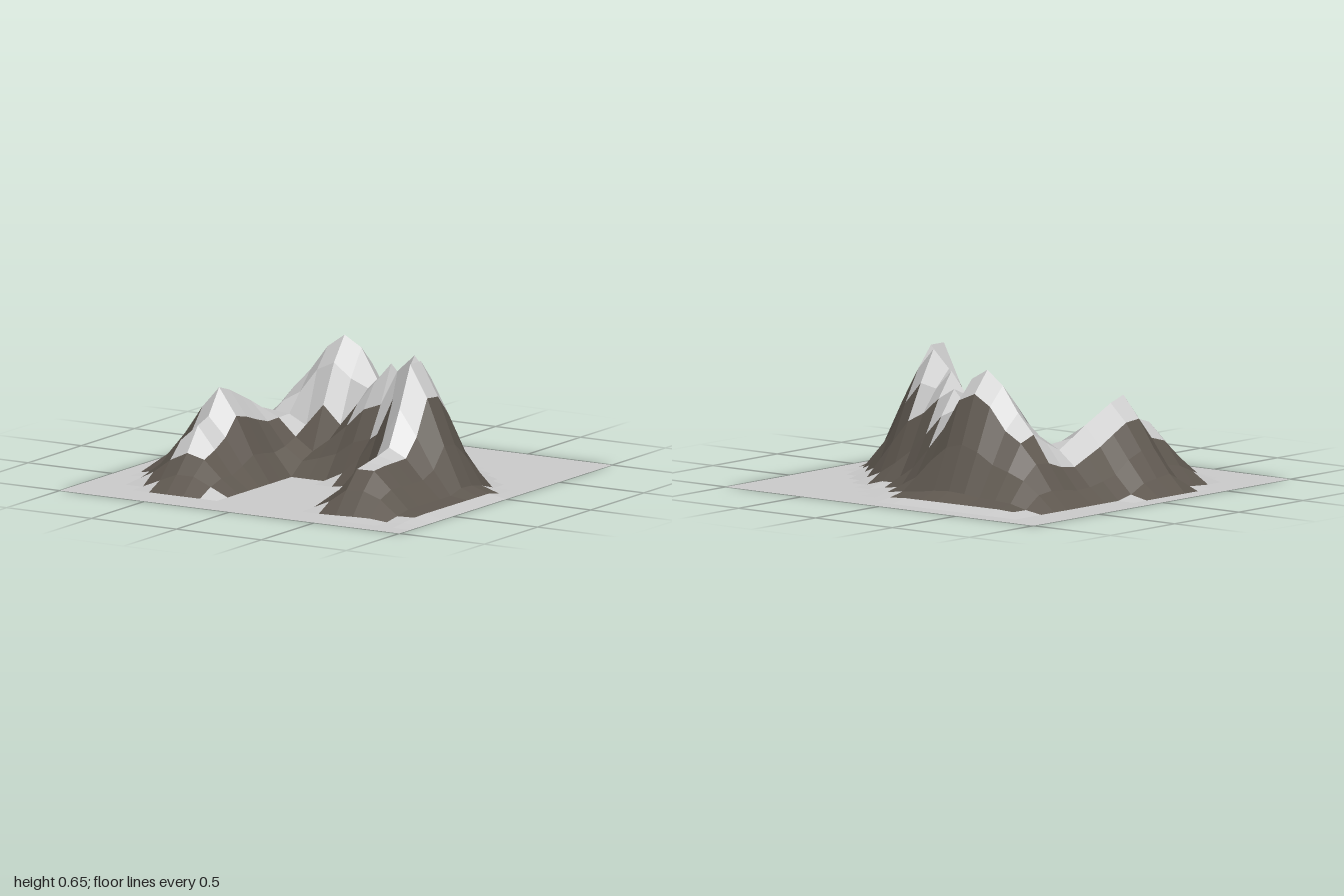
import * as THREE from 'three';

const CELLS = 20;
const STEP = 2 / CELLS;
const { clamp, lerp, smoothstep } = THREE.MathUtils;

// Crest of the horseshoe range: x, z, height
const RIDGE = [
  [-0.45, 0.6, 0.18], [-0.5, 0.5, 0.3], [-0.5, 0.4, 0.33], [-0.5, 0.3, 0.46],
  [-0.5, 0.2, 0.43], [-0.5, 0, 0.34], [-0.45, -0.2, 0.26], [-0.4, -0.41, 0.45],
  [-0.3, -0.42, 0.59], [-0.2, -0.42, 0.66], [-0.1, -0.42, 0.61], [0, -0.4, 0.42],
  [0.1, -0.3, 0.5], [0.2, -0.2, 0.57], [0.3, -0.1, 0.56], [0.4, -0.1, 0.65],
  [0.5, 0, 0.65], [0.5, 0.1, 0.65], [0.5, 0.2, 0.44], [0.52, 0.3, 0.27],
  [0.55, 0.6, 0.24],
];

// Outline where the slopes meet the ground: x, z
const FOOT = [
  [-0.2, 0.7], [-0.3, 0.8], [-0.6, 0.8], [-0.8, 0.6], [-0.82, 0.42], [-0.9, 0.35],
  [-0.88, 0.05], [-0.8, -0.05], [-0.8, -0.7], [-0.6, -0.75], [0, -0.74],
  [0.1, -0.7], [0.2, -0.62], [0.3, -0.53], [0.5, -0.46], [0.6, -0.36], [0.7, -0.27],
  [0.8, -0.13], [0.84, 0], [0.85, 0.65], [0.78, 0.82], [0.42, 0.8], [0.3, 0.68],
  [0.3, 0.3], [0.1, 0.15], [0, 0.1], [-0.2, 0.1],
];

// Hollows scooped out of the inner slopes: x, z, radius, depth share
const HOLLOWS = [[-0.15, -0.17, 0.12, 0.25], [0.25, -0.05, 0.11, 0.48]];

// Distance from (x, z) to segment ab, and the place along it
function toSegment(x, z, a, b) {
  const dx = b[0] - a[0], dz = b[1] - a[1];
  const s = ((x - a[0]) * dx + (z - a[1]) * dz) / (dx * dx + dz * dz);
  const along = clamp(s, 0, 1);
  return { along, dist: Math.hypot(x - a[0] - along * dx, z - a[1] - along * dz) };
}

// Height, and rise as a share of the way from foot (0) to crest (1)
function terrainAt(x, z) {
  let inside = false, footDist = Infinity;
  FOOT.forEach((a, i) => {
    const b = FOOT[(i + 1) % FOOT.length];
    footDist = Math.min(footDist, toSegment(x, z, a, b).dist);
    if ((a[1] > z) !== (b[1] > z) &&
        x < a[0] + ((z - a[1]) / (b[1] - a[1])) * (b[0] - a[0])) inside = !inside;
  });

  // Shallow apron along the back and the outer side, not at the corner between
  const apron = x - z > 0.1 && x - z < 0.95 ? 0.03 : 0;
  if (!inside) return { y: apron * Math.max(0, 1 - footDist / 0.15), rise: 0 };

  let crestDist = Infinity, crest = 0;
  for (let i = 0; i < RIDGE.length - 1; i++) {
    const { along, dist } = toSegment(x, z, RIDGE[i], RIDGE[i + 1]);
    if (dist < crestDist) {
      crestDist = dist;
      crest = lerp(RIDGE[i][2], RIDGE[i + 1][2], along);
    }
  }
  const t = footDist / (footDist + crestDist);
  const rise = lerp(t, smoothstep(t, 0, 1), 0.5);

  let y = crest * rise;
  for (const [hx, hz, radius, depth] of HOLLOWS) {
    const falloff = Math.exp(-((x - hx) ** 2 + (z - hz) ** 2) / radius ** 2);
    y *= 1 - depth * falloff * Math.min(1, 4 * (1 - rise));
  }
  return { y: Math.max(y, apron), rise };
}

// Faceted surface made of square cells, one normal per cell
function cellMesh(name, color, cells) {
  const positions = [], normals = [];
  for (const [a, b, c, d] of cells) {
    const n = c.clone().sub(a).cross(d.clone().sub(b)).normalize();
    for (const p of [a, b, d, b, c, d]) {
      positions.push(p.x, p.y, p.z);
      normals.push(n.x, n.y, n.z);
    }
  }
  const geometry = new THREE.BufferGeometry();
  geometry.setAttribute('position', new THREE.Float32BufferAttribute(positions, 3));
  geometry.setAttribute('normal', new THREE.Float32BufferAttribute(normals, 3));
  const mesh = new THREE.Mesh(
    geometry,
    new THREE.MeshStandardMaterial({ color, side: THREE.DoubleSide }),
  );
  mesh.name = name;
  return mesh;
}

export function createModel() {
  const group = new THREE.Group();
  group.name = 'mountainTerrain';

  // Height grid
  const grid = [];
  for (let j = 0; j <= CELLS; j++) {
    grid.push([]);
    for (let i = 0; i <= CELLS; i++) {
      const x = -1 + i * STEP, z = -1 + j * STEP;
      const { y, rise } = terrainAt(x, z);
      grid[j].push({ point: new THREE.Vector3(x, y, z), rise });
    }
  }

  // Sort the cells into flat ground, rocky slopes and pale peaks
  const ground = [], slopes = [], peaks = [];
  for (let j = 0; j < CELLS; j++) {
    for (let i = 0; i < CELLS; i++) {
      const corners = [grid[j][i], grid[j + 1][i], grid[j + 1][i + 1], grid[j][i + 1]];
      const height = corners.reduce((sum, c) => sum + c.point.y, 0) / 4;
      const rise = corners.reduce((sum, c) => sum + c.rise, 0) / 4;
      const isPeak = height > 0.4 || (height > 0.19 && rise > 0.65);
      const list = isPeak ? peaks : height > 0.02 ? slopes : ground;
      list.push(corners.map((c) => c.point));
    }
  }

  group.add(
    cellMesh('ground', 0xcccccc, ground),
    cellMesh('rockySlopes', 0x5f5850, slopes),
    cellMesh('peaks', 0xcccccc, peaks),
  );
  return group;
}
